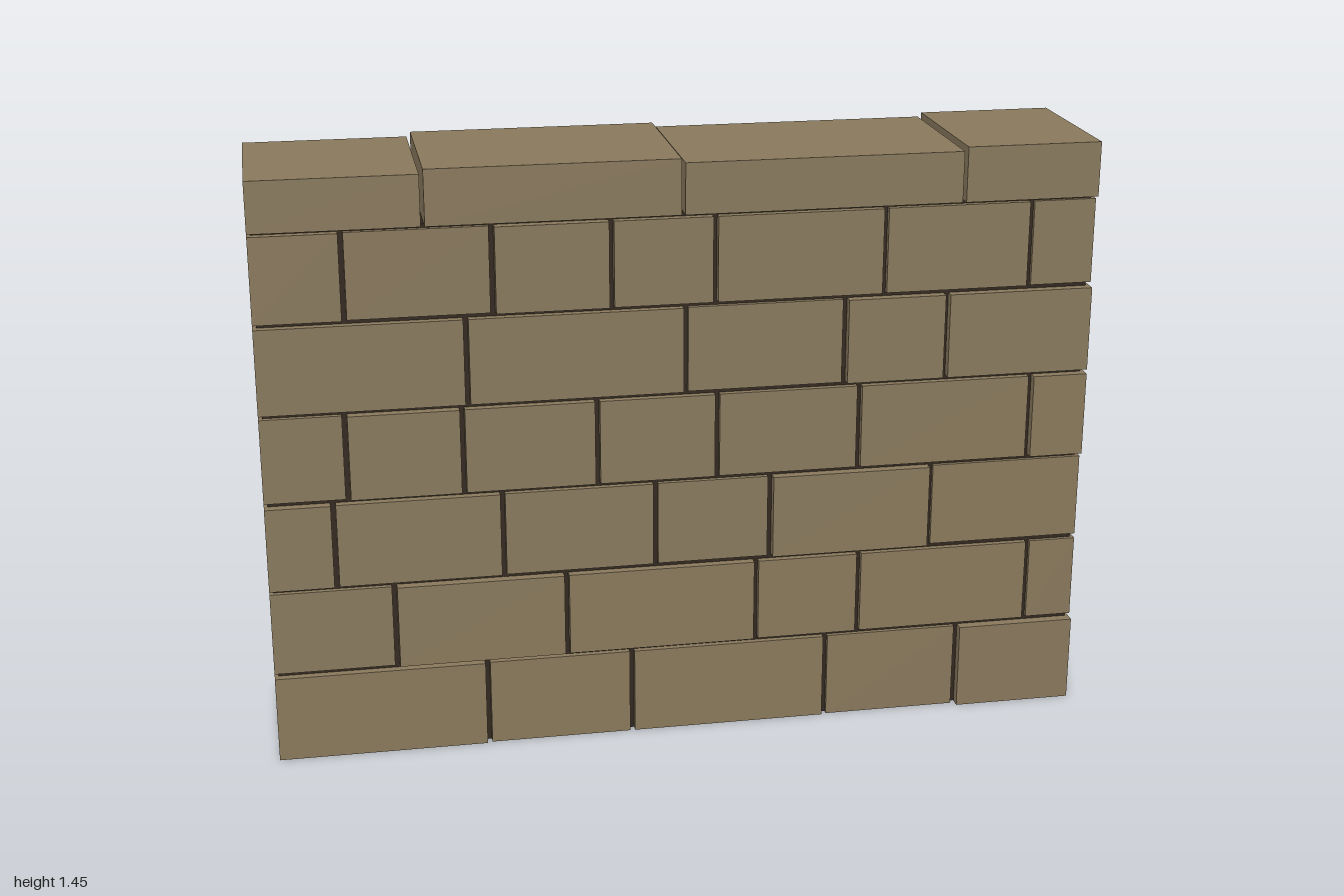
import * as THREE from 'three';

const stone = new THREE.MeshStandardMaterial({ color: 0x8b7b5e, side: THREE.DoubleSide });
stone.name = 'stone';
const mortar = new THREE.MeshStandardMaterial({ color: 0x332a20, side: THREE.DoubleSide });
mortar.name = 'mortar';

// Box given by its limits
function box(x0, x1, y0, y1, z0, z1) {
  const g = new THREE.BoxGeometry(x1 - x0, y1 - y0, z1 - z0);
  g.translate((x0 + x1) / 2, (y0 + y1) / 2, (z0 + z1) / 2);
  return g;
}

// Same box, open underneath
function openBox(...limits) {
  const g = box(...limits);
  const idx = Array.from(g.index.array);
  idx.splice(18, 6); // drop the underside
  g.setIndex(idx);
  g.clearGroups();
  return g;
}

// Courses from the ground up: height range, upright joints, front and back depth of each block
const courses = [
  { y: [0, 0.216], joints: [-0.487, -0.13, 0.36, 0.7],
    front: [0.195, 0.19, 0.19, 0.186, 0.2], back: [0.19, 0.192, 0.195, 0.19, 0.2] },
  { y: [0.227, 0.434], joints: [-0.705, -0.29, 0.18, 0.44, 0.877],
    front: [0.188, 0.199, 0.196, 0.192, 0.19, 0.185], back: [0.187, 0.19, 0.19, 0.188, 0.19, 0.19] },
  { y: [0.446, 0.654], joints: [-0.84, -0.44, -0.07, 0.213, 0.617],
    front: [0.199, 0.195, 0.19, 0.187, 0.199, 0.185], back: [0.195, 0.19, 0.192, 0.188, 0.19, 0.199] },
  { y: [0.665, 0.873], joints: [-0.803, -0.53, -0.21, 0.08, 0.43, 0.86],
    front: [0.188, 0.198, 0.195, 0.193, 0.19, 0.192, 0.198], back: [0.19, 0.188, 0.192, 0.19, 0.187, 0.192, 0.195] },
  { y: [0.884, 1.092], joints: [-0.515, 0.003, 0.39, 0.64],
    front: [0.195, 0.194, 0.187, 0.199, 0.198], back: [0.188, 0.193, 0.19, 0.192, 0.19] },
  { y: [1.103, 1.31], joints: [-0.792, -0.45, -0.173, 0.073, 0.483, 0.842],
    front: [0.195, 0.187, 0.199, 0.195, 0.194, 0.19, 0.185], back: [0.188, 0.191, 0.19, 0.191, 0.19, 0.187, 0.185] },
];

export function createModel() {
  const wall = new THREE.Group();
  wall.name = 'stoneWall';

  const add = (parent, name, geometry, material) => {
    const mesh = new THREE.Mesh(geometry, material);
    mesh.name = name;
    parent.add(mesh);
  };

  // Splits the wall length at the joints and builds one block per span
  const addCourse = (name, joints, gap, build) => {
    const course = new THREE.Group();
    course.name = name;
    const edges = [-1, ...joints, 1];
    for (let i = 0; i < edges.length - 1; i++) {
      const x0 = edges[i] + (i > 0 ? gap / 2 : 0);
      const x1 = edges[i + 1] - (i < joints.length ? gap / 2 : 0);
      add(course, 'block', build(x0, x1, i), stone);
    }
    wall.add(course);
  };

  // Recessed mortar core showing in the joints
  add(wall, 'mortarCore', openBox(-0.991, 0.991, 0.001, 1.319, -0.172, 0.175), mortar);

  // Staggered block courses, the lowest hollow underneath
  courses.forEach((c, n) => addCourse('course' + (n + 1), c.joints, 0.012, (x0, x1, i) =>
    (n === 0 ? openBox : box)(x0, x1, c.y[0], c.y[1], -c.back[i], c.front[i])));

  // Capstones of slightly uneven height
  const capTops = [1.44, 1.451, 1.441, 1.451];
  addCourse('capstones', [-0.606, -0.005, 0.669], 0.009, (x0, x1, i) =>
    box(x0, x1, 1.318, capTops[i], -0.2, 0.2));

  return wall;
}
